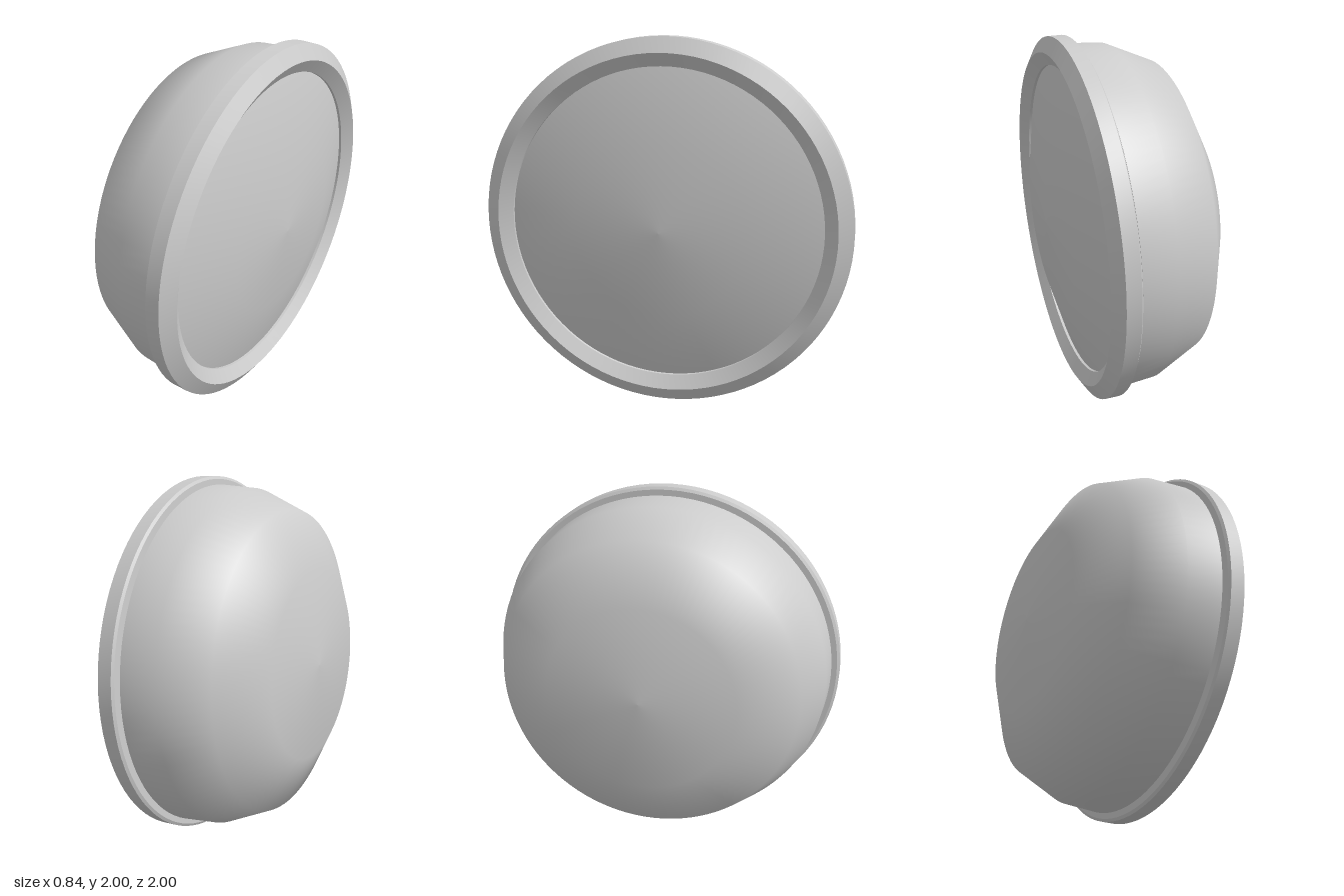
import * as THREE from 'three';
import { toCreasedNormals } from 'three/addons/utils/BufferGeometryUtils.js';

const SEGMENTS = 96;

// Spin a profile of [radius, distance along the axis] points
function turned(name, points, material, creased) {
  let geometry = new THREE.LatheGeometry(points.map(([r, a]) => new THREE.Vector2(r, a)), SEGMENTS);
  if (creased) geometry = toCreasedNormals(geometry, THREE.MathUtils.degToRad(20));
  const mesh = new THREE.Mesh(geometry, material);
  mesh.name = name;
  return mesh;
}

export function createModel() {
  const grey = new THREE.MeshStandardMaterial({ color: 0xcccccc, side: THREE.DoubleSide });
  grey.name = 'lightGrey';

  const lamp = new THREE.Group();
  lamp.name = 'roundLamp';

  // Rounded bowl behind the rim
  lamp.add(turned('bowl', [
    [0, -0.70], [0.52, -0.67], [0.83, -0.51], [0.94, -0.265], [0.955, -0.075],
  ], grey, false));

  // Narrow lip closing the bowl, with a small gap to the rim
  lamp.add(turned('bowlLip', [[0.955, -0.075], [0.91, -0.074], [0.91, -0.04]], grey, true));

  // Bevelled ring that holds the lens
  lamp.add(turned('rim', [
    [0.88, -0.064], [0.985, -0.064], [1.0, -0.055], [1.0, 0.022],
    [0.92, 0.07], [0.85, 0.025], [0.85, -0.02],
  ], grey, true));

  // Shallow domed lens
  lamp.add(turned('lens', [[0.85, 0.01], [0.47, 0.117], [0, 0.142]], grey, false));

  // Lay the axis along x, with the lens leaning slightly downward
  lamp.rotation.z = -Math.PI / 2 - 0.0475;
  lamp.position.set(0.276, 1, 0);

  const model = new THREE.Group();
  model.name = 'lampModel';
  model.add(lamp);
  return model;
}
